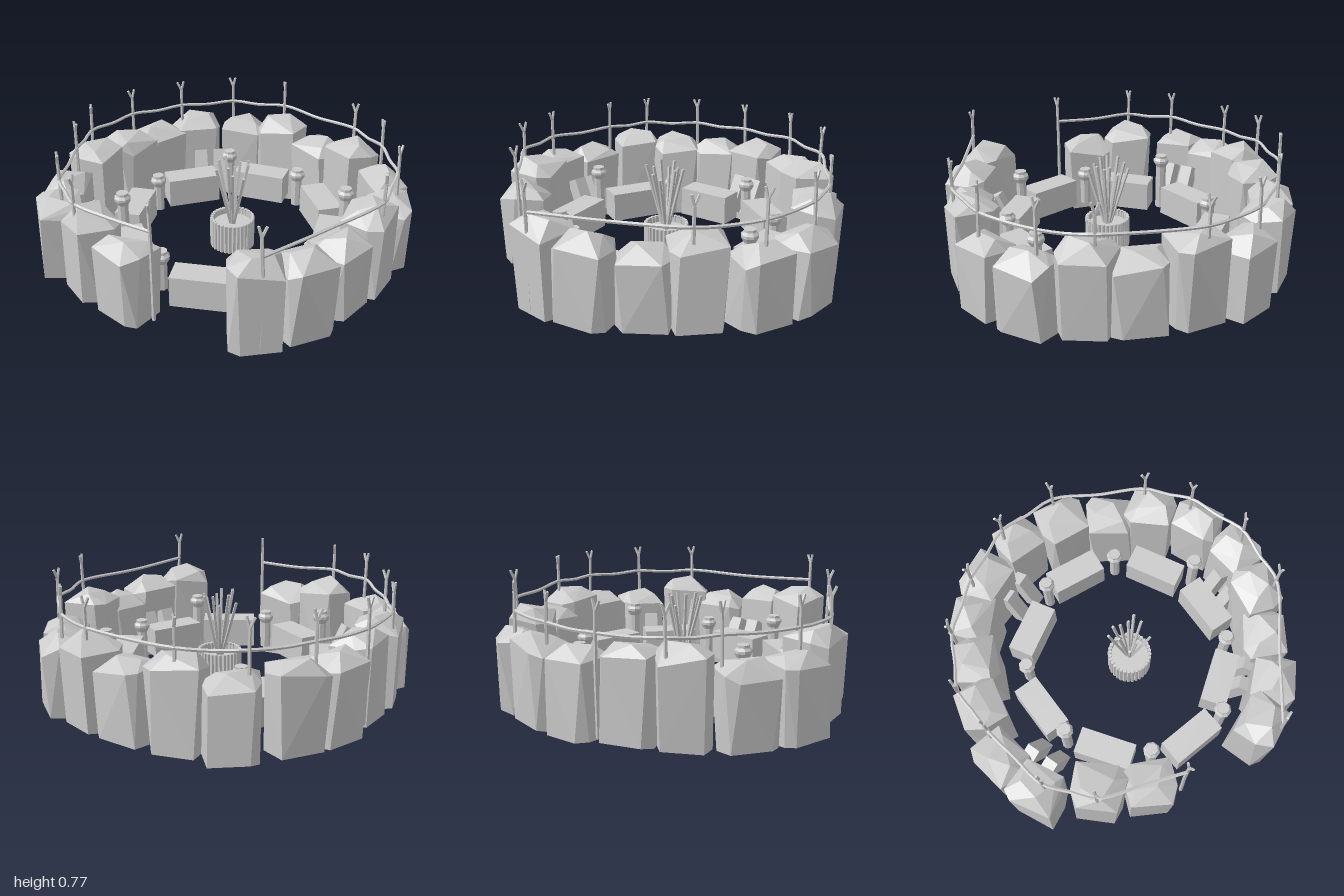
import * as THREE from 'three';
import { ConvexGeometry } from 'three/addons/geometries/ConvexGeometry.js';

const mat = new THREE.MeshStandardMaterial({ color: 0xcccccc, flatShading: true, side: THREE.DoubleSide });
const V = (x, y, z) => new THREE.Vector3(x, y, z);
const FLOOR = 0.09;

let seed = 11;
const jitter = (a) => {
  seed = (seed * 16807) % 2147483647;
  return (seed / 2147483647 - 0.5) * 2 * a;
};

function add(parent, name, geometry) {
  const m = new THREE.Mesh(geometry, mat);
  m.name = name;
  parent.add(m);
  return m;
}

// Tapered stick between two points
function stick(parent, name, a, b, r0, r1, sides = 5) {
  const m = add(parent, name, new THREE.CylinderGeometry(r1, r0, a.distanceTo(b), sides));
  m.position.copy(a).add(b).multiplyScalar(0.5);
  m.quaternion.setFromUnitVectors(V(0, 1, 0), b.clone().sub(a).normalize());
  return m;
}

// Boulder: hull of two chamfered outlines, mirrored at random so the sides
// get long diagonal creases, under a broad sloping ridge (+z is outward)
const outline = [[-0.148, -0.08], [-0.095, -0.13], [0.136, -0.115], [0.148, 0.04], [0.105, 0.127], [-0.13, 0.122]];
function rock(height) {
  const pts = [];
  for (const [y, scale, wobble, tilt] of [[0.022, 0.97, 0.01, 0.1], [height - 0.08, 1, 0.03, 0]]) {
    const sx = Math.sign(jitter(1)), sz = Math.sign(jitter(1));
    for (const [x, z] of outline)
      pts.push(V(sx * x * scale + jitter(0.01), y + sz * z * tilt + jitter(wobble), sz * z * scale + jitter(0.01)));
  }
  const side = Math.sign(jitter(1));
  pts.push(V(side * -0.09, height - 0.01 + jitter(0.01), jitter(0.03)));
  pts.push(V(side * 0.03, height, 0.05 + jitter(0.03)));
  pts.push(V(side * 0.08, height - 0.03, -0.06 + jitter(0.03)));
  return new ConvexGeometry(pts);
}

export function createModel() {
  const root = new THREE.Group();
  root.name = 'stoneRingCamp';

  // Ring of boulders with an entrance gap: x, z, top height
  const rocks = [
    [-0.85, 0.04, 0.49], [-0.84, -0.25, 0.56], [-0.79, -0.59, 0.5], [-0.58, -0.77, 0.49],
    [-0.28, -0.85, 0.57], [-0.01, -0.85, 0.55], [0.28, -0.85, 0.52], [0.52, -0.75, 0.54],
    [0.77, -0.53, 0.5], [0.83, -0.25, 0.56], [0.85, 0.05, 0.49], [0.83, 0.31, 0.56],
    [0.75, 0.6, 0.49], [0.51, 0.79, 0.48], [0.2, 0.85, 0.57], [-0.06, 0.85, 0.49],
    [-0.36, 0.84, 0.54], [-0.6, 0.71, 0.57],
  ];
  const rockRing = new THREE.Group();
  rockRing.name = 'rockRing';
  root.add(rockRing);
  for (const [x, z, h] of rocks) {
    const m = add(rockRing, 'rock', rock(h));
    m.position.set(x, 0, z);
    m.rotation.y = Math.atan2(x, z);
  }

  // Bench blocks facing the fire: x, z, turn
  const benches = [
    [-0.27, -0.52, 0.5], [0.23, -0.52, -0.55], [0.575, -0.21, -1.19], [0.54, 0.3, 0.98],
    [0.235, 0.57, 0.47], [-0.25, 0.57, -0.46], [-0.58, 0.335, -1.03], [-0.58, -0.18, 1.1],
  ];
  for (const [x, z, turn] of benches) {
    const m = add(root, 'bench', new THREE.BoxGeometry(0.335, 0.18, 0.155));
    m.position.set(x, FLOOR + 0.085, z);
    m.rotation.y = turn;
  }

  // Octagonal lantern posts: x, z, top
  const posts = [
    [-0.02, -0.575, 0.33], [0.465, -0.395, 0.39], [0.62, 0.05, 0.34], [0.465, 0.525, 0.43],
    [-0.02, 0.645, 0.34], [-0.48, 0.525, 0.41], [-0.64, 0.085, 0.33], [-0.48, -0.395, 0.45],
  ];
  for (const [x, z, top] of posts) {
    const profile = [
      [0, FLOOR], [0.033, FLOOR], [0.033, top - 0.075], [0.05, top - 0.045],
      [0.05, top - 0.03], [0.036, top - 0.015], [0.036, top], [0, top],
    ].map(([r, y]) => new THREE.Vector2(r, y));
    const m = add(root, 'lanternPost', new THREE.LatheGeometry(profile, 8));
    m.position.set(x, 0, z);
    m.rotation.y = Math.PI / 8;
  }

  // Pairs of leaning blocks between benches and boulders: x, z, turn
  const props = [[-0.57, -0.53, -2.32], [0.47, -0.57, 2.44], [0.33, 0.68, 0.42], [-0.25, 0.68, -0.4]];
  for (const [x, z, turn] of props) {
    const g = new THREE.Group();
    g.name = 'leaningBlocks';
    g.position.set(x, FLOOR, z);
    g.rotation.y = turn;
    root.add(g);
    for (const i of [-1, 1]) {
      const m = add(g, 'leaningBlock', new THREE.BoxGeometry(0.08, 0.24, 0.09));
      m.position.set(i * 0.065, 0.12, 0);
      m.rotation.x = 0.45;
    }
  }

  // Fire pit: staves around a drum, with kindling fanned upward
  const fire = new THREE.Group();
  fire.name = 'firePit';
  fire.position.set(-0.015, FLOOR, 0.05);
  root.add(fire);
  add(fire, 'pitWall', new THREE.CylinderGeometry(0.115, 0.115, 0.16, 32, 1, true)).position.y = 0.08;
  add(fire, 'pitBed', new THREE.CylinderGeometry(0.114, 0.114, 0.02, 32)).position.y = 0.12;
  for (let i = 0; i < 32; i++) {
    const a = (i / 32) * Math.PI * 2;
    const m = add(fire, 'pitStave', new THREE.CylinderGeometry(0.012, 0.012, 0.18, 6));
    m.position.set(Math.cos(a) * 0.122, 0.08, Math.sin(a) * 0.122);
  }
  for (let i = 0; i < 11; i++) {
    const a = i * 2.4, r = 0.07 + 0.055 * ((i * 5) % 11) / 10;
    const end = V(Math.cos(a) * r, 0.5 + jitter(0.045), Math.sin(a) * r);
    stick(fire, 'kindling', V(-end.x * 0.3, -0.05, -end.z * 0.3), end, 0.01, 0.01, 4);
  }

  // Forked stakes carrying the rope, from one side of the gap to the other
  const stakes = [
    [-0.665, 0.8], [0.185, 0.945], [0.535, 0.815], [0.79, 0.55], [0.9, 0.28], [0.91, -0.29],
    [0.745, -0.61], [0.455, -0.82], [0.13, -0.955], [-0.22, -0.95], [-0.46, -0.81],
    [-0.8, -0.545], [-0.92, -0.27], [-0.85, 0.235],
  ];
  const ropePoints = [];
  stakes.forEach(([x, z], i) => {
    const g = new THREE.Group();
    g.name = 'forkedStake';
    g.position.set(x, 0, z);
    g.rotation.y = Math.atan2(x, z) + jitter(1.2);
    root.add(g);
    const bend = V(jitter(0.008), 0.45, jitter(0.008));
    const fork = V(0, 0.71, 0);
    stick(g, 'stakeLower', V(0, 0.06, 0), bend, 0.012, 0.011);
    stick(g, 'stakeUpper', bend, fork, 0.011, 0.01);
    stick(g, 'forkArm', fork, V(0.024, 0.765, 0.01), 0.009, 0.008);
    stick(g, 'forkArm', fork, V(-0.014, 0.77, -0.008), 0.009, 0.008);
    ropePoints.push(V(x, 0.602, z));
    // Slight sag between stakes
    if (i < stakes.length - 1) {
      const [nx, nz] = stakes[i + 1];
      ropePoints.push(V((x + nx) / 2, 0.593, (z + nz) / 2));
    }
  });
  const curve = new THREE.CatmullRomCurve3(ropePoints, false, 'centripetal');
  add(root, 'rope', new THREE.TubeGeometry(curve, 90, 0.01, 5, false));

  return root;
}
